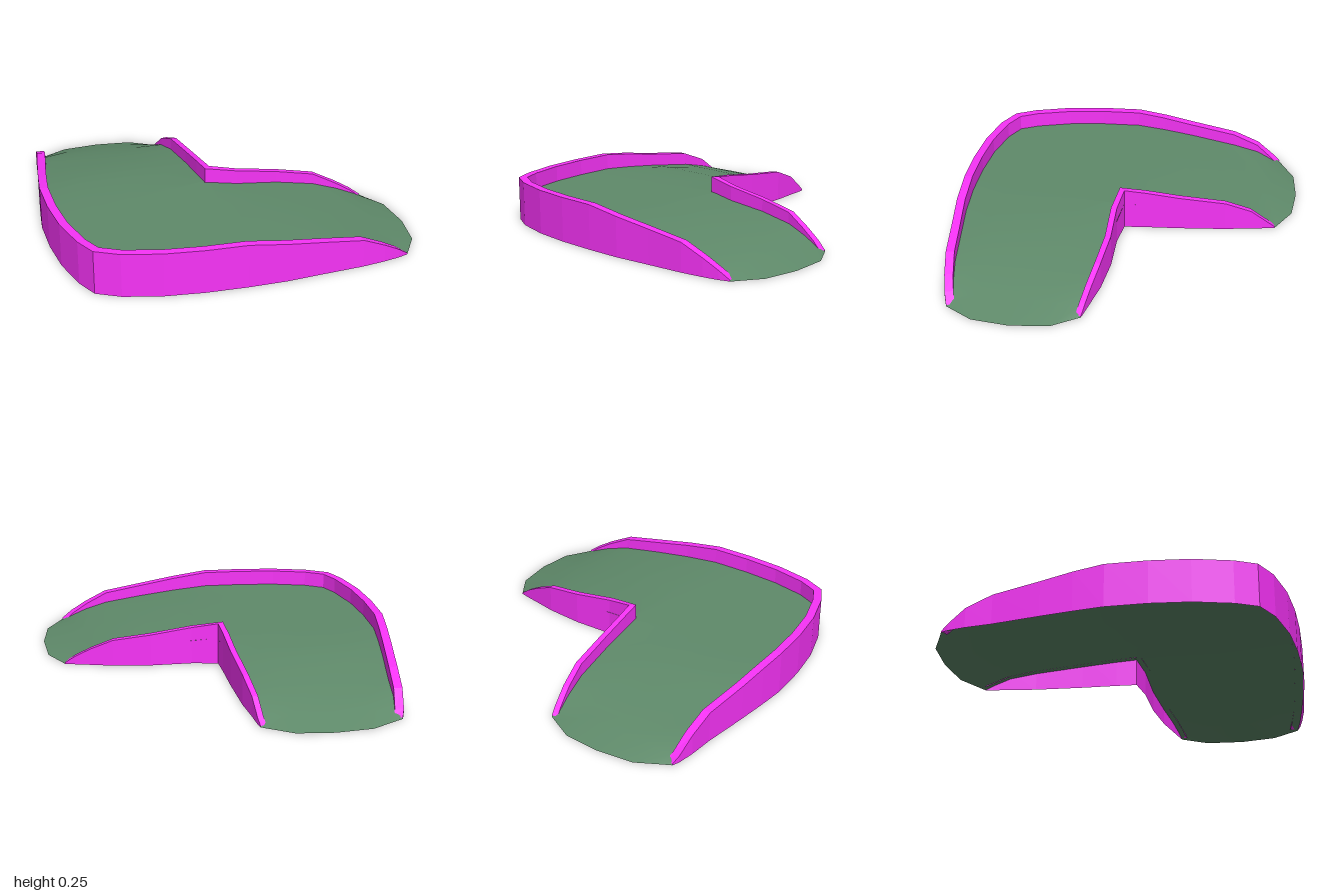
import * as THREE from 'three';

// Piecewise linear lookup in a list of [position, value]
function lookup(table, t) {
  if (t <= table[0][0]) return table[0][1];
  for (let i = 1; i < table.length; i++) {
    const [a, va] = table[i - 1], [b, vb] = table[i];
    if (t <= b) return va + (vb - va) * (t - a) / (b - a);
  }
  return table[table.length - 1][1];
}

// Heights fall with the distance along either arm
const reach = ([x, z]) => Math.max(x, -z, 0);
const RIM_FRONT = [[0, 0.25], [0.16, 0.222], [0.38, 0.191], [0.6, 0.159], [0.73, 0.1], [0.83, 0.045], [0.89, 0]];
const RIM_BACK = [[0, 0.25], [0.3, 0.207], [0.57, 0.175], [0.72, 0.117], [0.82, 0.04], [0.87, 0]];
const DECK = [[0, 0.16], [0.3, 0.145], [0.57, 0.102], [0.72, 0.07], [0.82, 0.045], [0.88, 0]];
const rimY = (p) => lookup(p[1] < 0 ? RIM_BACK : RIM_FRONT, reach(p));
const deckY = (p) => lookup(DECK, reach(p));
// Along the border the deck stays below the rim
const deckEdgeY = (p) => Math.min(deckY(p), rimY(p) * 0.64);

// Plan outlines [x, z], both running from the back tip to the front tip
const OUTER = [
  [-0.89, -0.86], [-0.905, -0.82], [-0.92, -0.72], [-0.93, -0.57], [-0.965, -0.3], [-0.985, -0.12],
  [-1, 0.05], [-0.99, 0.28], [-0.96, 0.5], [-0.9, 0.71], [-0.84, 0.83], [-0.71, 0.897], [-0.5, 0.948],
  [-0.28, 0.97], [-0.05, 0.975], [0.16, 0.97], [0.38, 0.948], [0.6, 0.928], [0.73, 0.907],
  [0.82, 0.887], [0.88, 0.866],
];
const INNER = [
  [-0.12, -0.86], [-0.11, -0.82], [-0.095, -0.72], [-0.068, -0.57], [-0.04, -0.3], [-0.025, -0.1],
  [-0.013, 0.018], [0.14, 0.04], [0.38, 0.04], [0.6, 0.065], [0.73, 0.095], [0.82, 0.115], [0.88, 0.13],
];
const BACK_TIP = [
  [-0.89, -0.86], [-0.85, -0.88], [-0.71, -0.955], [-0.5, -0.975], [-0.29, -0.955], [-0.15, -0.877], [-0.12, -0.86],
];
const FRONT_TIP = [
  [0.88, 0.866], [0.902, 0.83], [0.975, 0.71], [1, 0.5], [0.975, 0.28], [0.9, 0.162], [0.88, 0.13],
];

// Surface through rows of [x, y, z] points
function grid(rows) {
  const n = rows[0].length, index = [];
  for (let r = 0; r < rows.length - 1; r++) {
    for (let c = 0; c < n - 1; c++) {
      const a = r * n + c, b = a + n;
      index.push(a, b, a + 1, b, b + 1, a + 1);
    }
  }
  const geo = new THREE.BufferGeometry();
  geo.setAttribute('position', new THREE.Float32BufferAttribute(rows.flat(2), 3));
  geo.setIndex(index);
  geo.computeVertexNormals();
  return geo;
}

// Shift a path sideways with mitred corners
function offset(path, d) {
  const normals = path.slice(1).map(([x, z], i) => {
    const dx = x - path[i][0], dz = z - path[i][1], l = Math.hypot(dx, dz);
    return [dz / l, -dx / l];
  });
  return path.map(([x, z], i) => {
    const a = normals[Math.max(i - 1, 0)], b = normals[Math.min(i, normals.length - 1)];
    const k = d / (1 + a[0] * b[0] + a[1] * b[1]);
    return [x + (a[0] + b[0]) * k, z + (a[1] + b[1]) * k];
  });
}

// Raised border: outer face, top strip and inner face down to the deck
function borderGeometry(path, width) {
  const inside = offset(path, width);
  const rows = path.map((p, i) => {
    const q = inside[i], top = rimY(p);
    return [[p[0], 0, p[1]], [p[0], top, p[1]], [q[0], top, q[1]], [q[0], deckEdgeY(p), q[1]]];
  });
  return grid(rows);
}

// Point of the inner outline facing a point of the outer one
function facing([x, z]) {
  const corner = 6;
  if (z < 0) return [lookup(INNER.slice(0, corner + 1).map(([a, b]) => [b, a]), z), z];
  if (x > 0) return [x, lookup(INNER.slice(corner), x)];
  return INNER[corner];
}

// Deck: cross-sections from the back tip round the corner to the front tip
function deckGeometry() {
  const across = [0, 0.06, 0.25, 0.5, 0.75, 0.96, 1];
  const flatTip = (tip) => tip.map(([x, z]) => [x, 0, z]);
  const sections = OUTER.slice(1, -1).map((p) => {
    const q = facing(p);
    return across.map((u) => {
      const y = u < 0.1 || u > 0.9 ? deckEdgeY(p) : deckY(p);
      return [p[0] + (q[0] - p[0]) * u, y, p[1] + (q[1] - p[1]) * u];
    });
  });
  return grid([flatTip(BACK_TIP), ...sections, flatTip(FRONT_TIP)]);
}

export function createModel() {
  const group = new THREE.Group();
  group.name = 'cornerRamp';
  const green = new THREE.MeshStandardMaterial({ color: 0x5f8a6a, side: THREE.DoubleSide });
  const magenta = new THREE.MeshStandardMaterial({ color: 0xf833f8, side: THREE.DoubleSide, flatShading: true });

  const add = (name, geometry, material) => {
    const mesh = new THREE.Mesh(geometry, material);
    mesh.name = name;
    group.add(mesh);
  };
  add('deck', deckGeometry(), green);
  add('outerBorder', borderGeometry(OUTER, 0.048), magenta);
  add('innerBorder', borderGeometry(INNER, -0.034), magenta);
  return group;
}
